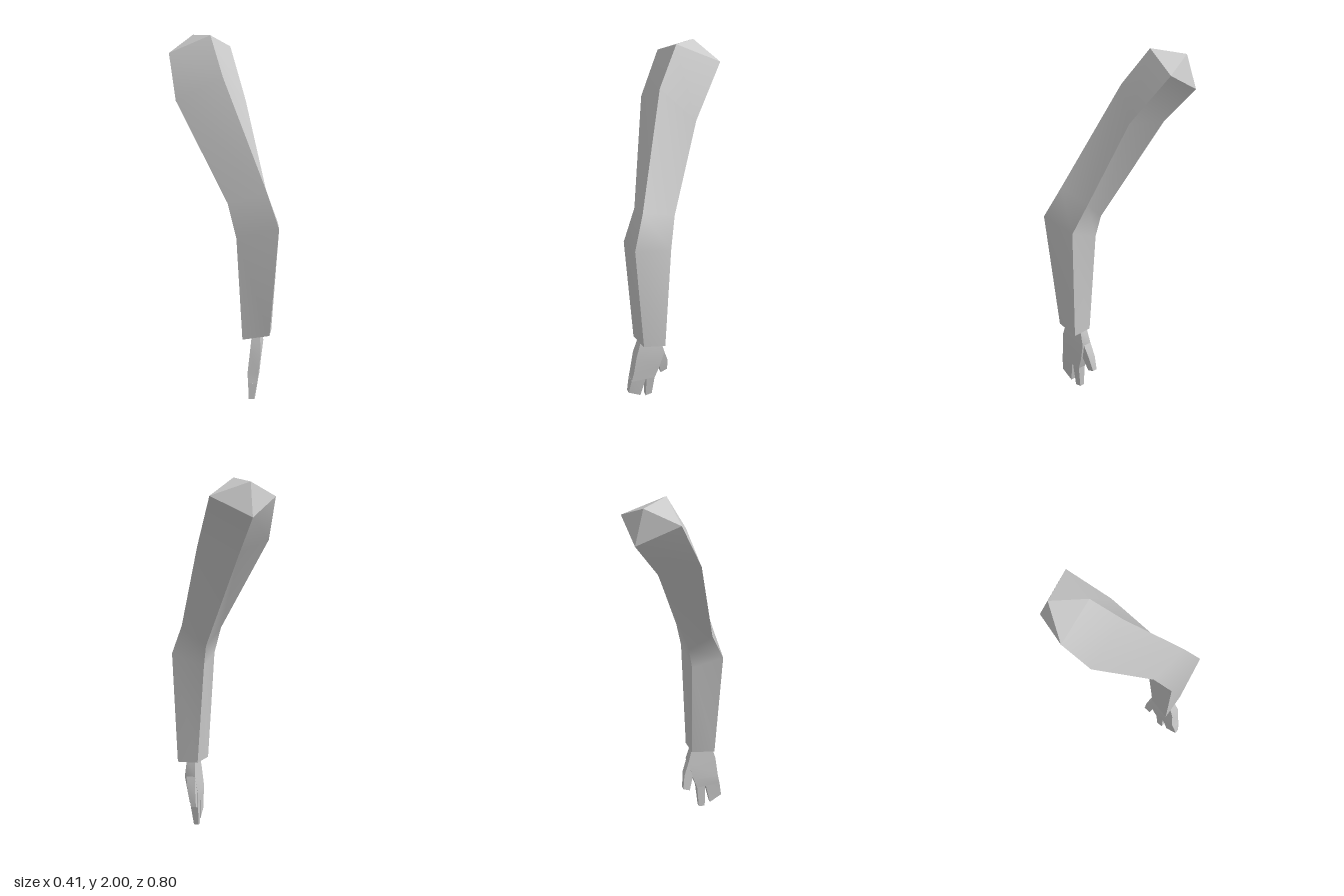
import * as THREE from 'three';
import { mergeGeometries } from 'three/addons/utils/BufferGeometryUtils.js';

const material = new THREE.MeshStandardMaterial({ color: 0xcccccc });

function surface(points, index) {
  const g = new THREE.BufferGeometry();
  g.setAttribute('position', new THREE.Float32BufferAttribute(points.flat(), 3));
  g.setIndex(index);
  g.computeVertexNormals();
  return g.toNonIndexed();
}

const middle = (ring) => [0, 1, 2].map((i) => ring.reduce((s, p) => s + p[i], 0) / ring.length);

// Joins rings (top to bottom, counterclockwise from above): each side is smooth
// along its length, with hard edges between sides and flat caps.
function loft(name, rings, apex = middle(rings[0])) {
  const parts = [];
  const first = rings[0], last = rings[rings.length - 1], n = first.length;
  const base = middle(last);
  for (let k = 0; k < n; k++) {
    const m = (k + 1) % n, points = [], index = [];
    rings.forEach((r, i) => {
      points.push(r[k], r[m]);
      const a = 2 * i;
      if (i < rings.length - 1) index.push(a, a + 2, a + 3, a, a + 3, a + 1);
    });
    parts.push(surface(points, index));
    parts.push(surface([apex, first[k], first[m]], [0, 1, 2]));
    parts.push(surface([base, last[m], last[k]], [0, 1, 2]));
  }
  const mesh = new THREE.Mesh(mergeGeometries(parts), material);
  mesh.name = name;
  return mesh;
}

// Hand section in the slanted plane of the palm:
// outer edge u and y, thumb-side edge u and y, offset across the palm, thickness.
function handRing([u0, y0, u1, y1, offset, thick]) {
  const at = (u, y, n) => [(u + n) * Math.SQRT1_2, y, 0.23 + (n - u) * Math.SQRT1_2];
  const f = offset + thick / 2, b = offset - thick / 2;
  return [at(u0, y0, f), at(u1, y1, f), at(u1, y1, b), at(u0, y0, b)];
}

export function createModel() {
  const model = new THREE.Group();
  model.name = 'arm';

  // Sleeve: diamond sections, corners in the order front, left, back, right
  model.add(loft('sleeve', [
    [[0, 2, -0.165], [0.205, 1.905, -0.26], [0.04, 1.8, -0.4], [-0.165, 1.905, -0.31]],
    [[-0.03, 1.81, -0.02], [0.155, 1.65, -0.06], [0.01, 1.62, -0.24], [-0.21, 1.68, -0.19]],
    [[0.01, 1.26, 0.3], [0.127, 1.2, 0.157], [0.01, 1.09, 0.09], [-0.115, 1.18, 0.13]],
    [[0.01, 1.09, 0.4], [0.142, 1.04, 0.24], [0.005, 0.97, 0.12], [-0.135, 1.02, 0.23]],
    [[0.02, 0.43, 0.33], [0.11, 0.4, 0.24], [0.025, 0.4, 0.16], [-0.09, 0.4, 0.23]],
  ], [0.02, 1.975, -0.35]));

  // Hand: flat palm, broad outer finger, narrow middle finger and thumb
  const hand = new THREE.Group();
  hand.name = 'hand';
  const pieces = {
    palm: [
      [-0.055, 0.43, 0.055, 0.43, 0.01, 0.045],
      [-0.085, 0.33, 0.085, 0.32, 0.01, 0.06],
      [-0.1, 0.21, 0.055, 0.21, 0, 0.06],
      [-0.113, 0.15, 0.03, 0.14, 0, 0.05],
    ],
    outerFinger: [
      [-0.113, 0.155, -0.026, 0.145, 0, 0.05],
      [-0.127, 0.06, -0.055, 0.018, -0.005, 0.028],
    ],
    middleFinger: [
      [-0.02, 0.15, 0.03, 0.145, 0, 0.048],
      [-0.02, 0, 0.018, 0.005, -0.01, 0.028],
    ],
    thumb: [
      [0.035, 0.31, 0.085, 0.32, 0.005, 0.05],
      [0.06, 0.22, 0.112, 0.24, -0.005, 0.045],
      [0.08, 0.135, 0.12, 0.15, -0.02, 0.028],
    ],
  };
  for (const [name, rows] of Object.entries(pieces)) hand.add(loft(name, rows.map(handRing)));
  model.add(hand);
  return model;
}
